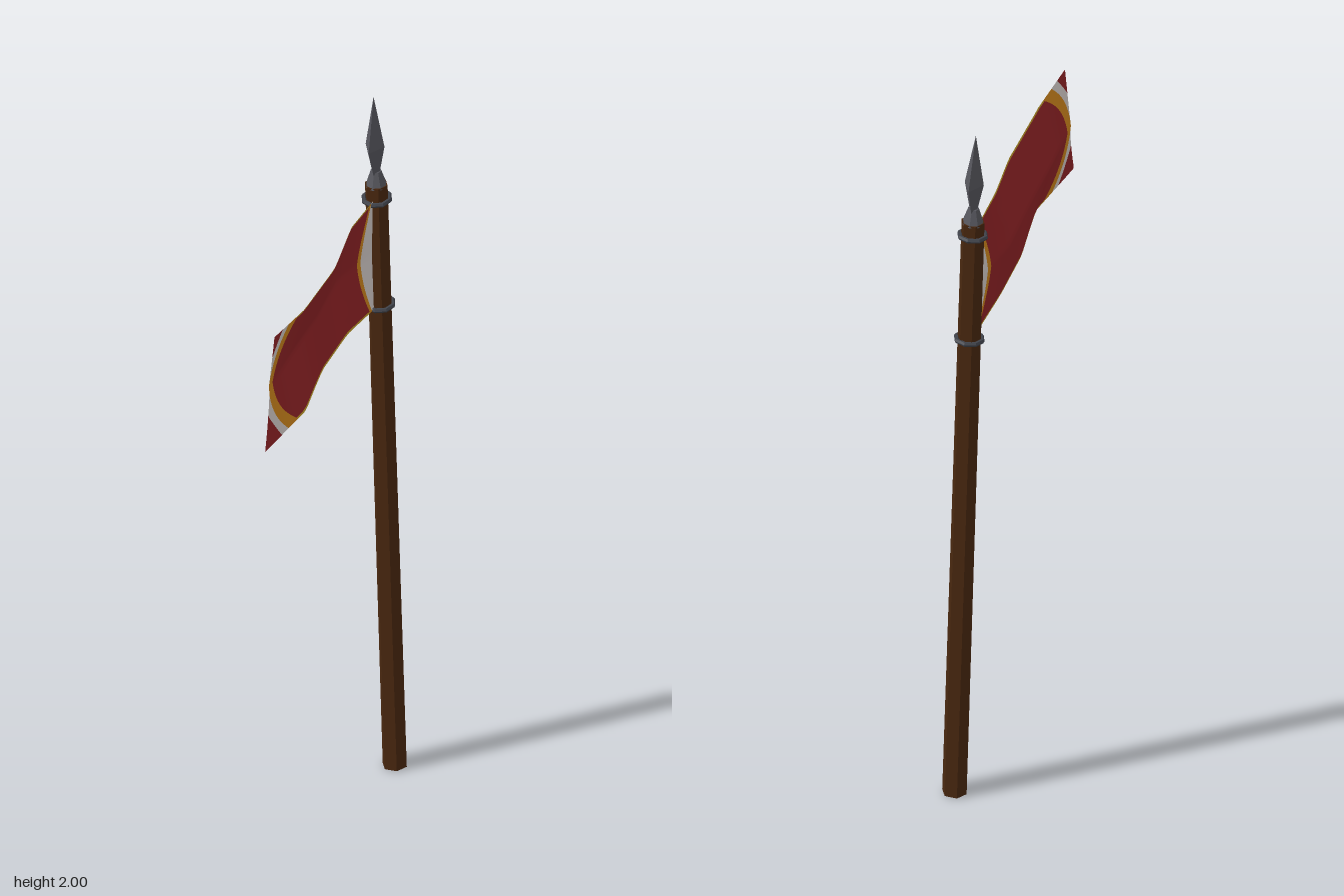
import * as THREE from 'three';

const mat = (name, color, side = THREE.FrontSide) => {
  const m = new THREE.MeshStandardMaterial({ color, side });
  m.name = name;
  return m;
};

// Piecewise-linear curve through [z, value] points
const curve = (points) => (z) => {
  const i = Math.max(1, points.findIndex((p) => p[0] >= z));
  const k = z > points[points.length - 1][0] ? points.length - 1 : i;
  const [a, b] = [points[k - 1], points[k]];
  return a[1] + (b[1] - a[1]) * THREE.MathUtils.clamp((z - a[0]) / (b[0] - a[0]), 0, 1);
};

// Cloth outline and its sideways sway along the top, middle and bottom
const topY = curve([[-0.37, 1.70], [-0.2, 1.715], [0, 1.705], [0.2, 1.712], [0.39, 1.73]]);
const bottomY = curve([[-0.37, 1.375], [-0.2, 1.395], [0.1, 1.407], [0.43, 1.407]]);
const topX = curve([[-0.37, -0.022], [-0.2, -0.02], [-0.02, 0.005], [0.22, 0.008], [0.39, -0.006]]);
const midX = curve([[-0.37, -0.022], [-0.19, -0.055], [0, -0.04], [0.2, -0.035], [0.38, -0.025]]);
const bottomX = curve([[-0.37, -0.018], [-0.19, -0.028], [0, -0.022], [0.21, 0.011], [0.43, -0.015]]);
const tailZ = curve([[0, 0.433], [0.45, 0.38], [1, 0.39]]);

function clothPoint(z, v) {
  const x = v > 0.5
    ? THREE.MathUtils.lerp(midX(z), topX(z), v * 2 - 1)
    : THREE.MathUtils.lerp(bottomX(z), midX(z), v * 2);
  return [x, THREE.MathUtils.lerp(bottomY(z), topY(z), v), z];
}

// Cloth: bands of colour from pole to tail, split at curved borders
function makeCloth(materials) {
  const rows = [0, 0.018];
  for (let i = 1; i < 24; i++) rows.push(i / 24);
  rows.push(0.982, 1);
  const borders = (v) => {
    const t = Math.abs(v * 2 - 1), end = tailZ(v);
    return [
      -0.37,
      -0.302 - 0.045 * t * t,
      -0.285 - 0.05 * t * t,
      0.35 - 0.1 * t * t,
      Math.min(end, 0.383 - 0.08 * t * t),
      Math.min(end, 0.452 - 0.112 * t),
      end,
    ];
  };
  // Material slots: 0 red, 1 white, 2 orange, 3 edge yellow
  const bands = [[1, 2], [2, 1], [0, 18], [2, 2], [1, 2], [0, 2]];
  const positions = [], index = [], columns = [];
  bands.forEach(([slot, n], b) => {
    for (let i = 0; i < n; i++) columns.push({ b, f: i / n, slot });
  });
  columns.push({ b: bands.length - 1, f: 1 });
  for (const { b, f } of columns) {
    for (const v of rows) {
      const e = borders(v);
      positions.push(...clothPoint(THREE.MathUtils.lerp(e[b], e[b + 1], f), v));
    }
  }
  const geo = new THREE.BufferGeometry();
  const R = rows.length;
  for (let c = 0; c < columns.length - 1; c++) {
    for (let r = 0; r < R - 1; r++) {
      const a = c * R + r, d = a + R;
      const hem = columns[c].b === 2 && (r === 0 || r === R - 2);
      geo.addGroup(index.length, 6, hem ? 3 : columns[c].slot);
      index.push(a, a + 1, d, d, a + 1, d + 1);
    }
  }
  geo.setAttribute('position', new THREE.Float32BufferAttribute(positions, 3));
  geo.setIndex(index);
  geo.computeVertexNormals();
  const mesh = new THREE.Mesh(geo, materials);
  mesh.name = 'bannerCloth';
  return mesh;
}

// Flat-faced copy so that low-poly edges stay sharp
function faceted(geo) {
  const g = geo.toNonIndexed();
  g.computeVertexNormals();
  return g;
}

export function createModel() {
  const wood = mat('dark wood', 0x48270f);
  const steel = mat('steel', 0x56565d);
  const iron = mat('ring iron', 0x3f424a);
  const cloth = [
    mat('banner red', 0x912326, THREE.DoubleSide),
    mat('banner white', 0xd6cecb, THREE.DoubleSide),
    mat('banner orange', 0xd0861c, THREE.DoubleSide),
    mat('hem yellow', 0xc09a28, THREE.DoubleSide),
  ];

  const model = new THREE.Group();
  model.name = 'banner';

  // Leaning staff with everything fixed to it
  const staff = new THREE.Group();
  staff.name = 'staff';
  staff.position.set(0.028, 0, -0.385);
  staff.rotation.z = 0.029;
  model.add(staff);
  const add = (name, geo, material, y) => {
    const mesh = new THREE.Mesh(geo, material);
    mesh.name = name;
    mesh.position.y = y;
    staff.add(mesh);
    return mesh;
  };

  // Six-sided pole with a corner toward each side
  const pole = new THREE.CylinderGeometry(0.031, 0.033, 1.74, 6);
  pole.rotateY(Math.PI / 6);
  add('pole', faceted(pole), wood, 0.87);

  // Iron rings holding the cloth
  for (const [name, y] of [['upperRing', 1.697], ['lowerRing', 1.382]]) {
    const ring = new THREE.TorusGeometry(0.035, 0.0065, 6, 8);
    ring.rotateX(Math.PI / 2);
    add(name, faceted(ring), iron, y).rotation.x = 0.08;
  }

  // Spear socket
  add('spearSocket', faceted(new THREE.CylinderGeometry(0.014, 0.029, 0.045, 8)), steel, 1.757);

  // Diamond-section spear blade, wide along z
  const profile = [[0, 1.765], [0.017, 1.772], [0.046, 1.855], [0, 2.0]];
  const blade = new THREE.LatheGeometry(profile.map(([r, y]) => new THREE.Vector2(r, y)), 4);
  blade.scale(0.56, 1, 1);
  add('spearBlade', faceted(blade), steel, 0);

  model.add(makeCloth(cloth));
  return model;
}
